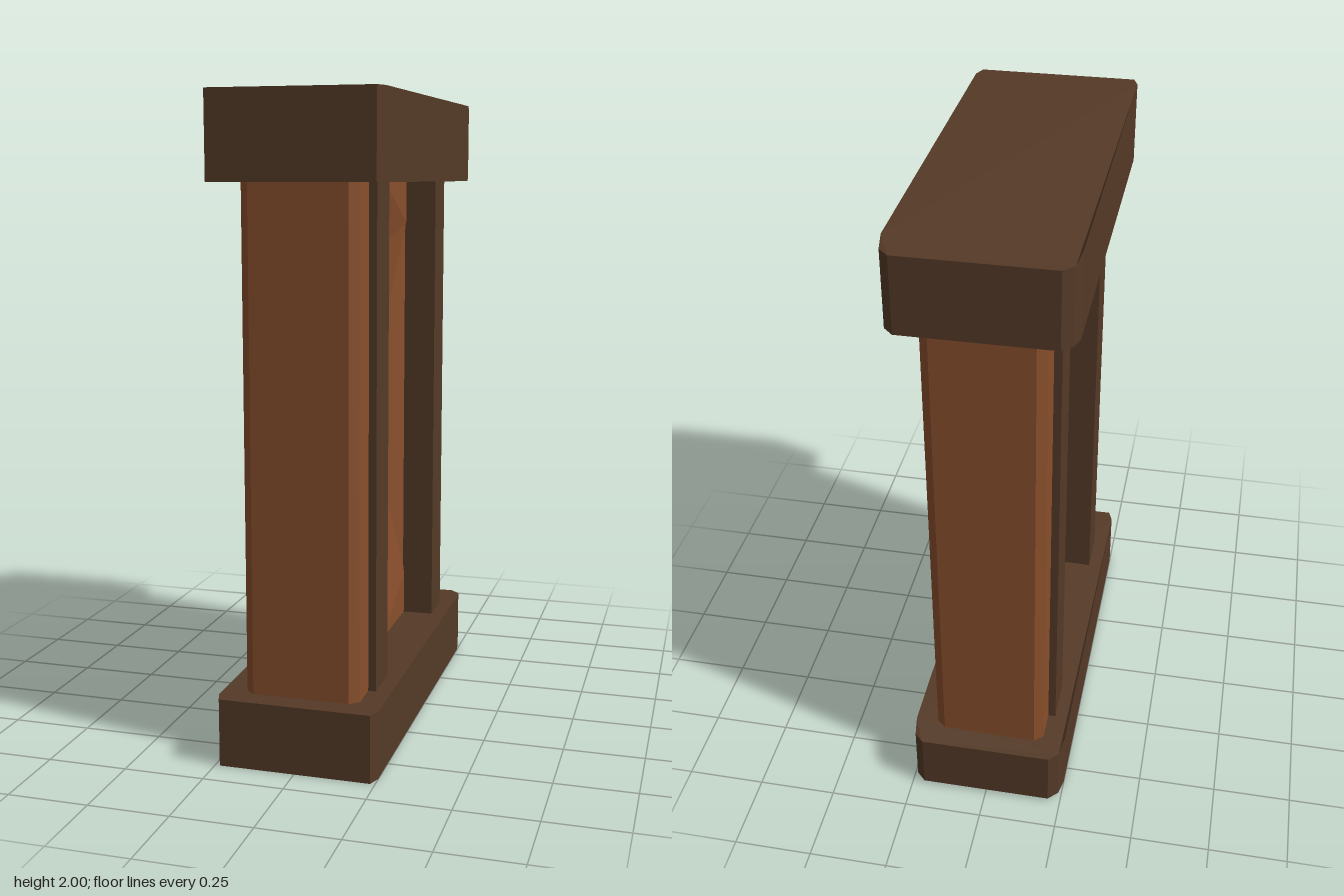
import * as THREE from 'three';

const dark = new THREE.MeshStandardMaterial({ color: 0x55392a, flatShading: true });
const orange = new THREE.MeshStandardMaterial({ color: 0x8a4f2c, flatShading: true });
dark.color.set(0x553a27);

const Y0 = 0.2, Y1 = 1.75; // span between the two slabs

export function createModel() {
  const group = new THREE.Group();
  const add = (name, geometry, material, x = 0, y = 0, z = 0) => {
    const mesh = new THREE.Mesh(geometry, material);
    mesh.name = name;
    mesh.position.set(x, y, z);
    group.add(mesh);
    return mesh;
  };

  // Upright prism from half an outline of [x, z] points, mirrored across x
  const prism = (half, height) => {
    const pts = [...half, ...half.map(([x, z]) => [-x, z]).reverse()];
    const shape = new THREE.Shape(pts.map(([x, z]) => new THREE.Vector2(x, -z)));
    const g = new THREE.ExtrudeGeometry(shape, { depth: height, bevelEnabled: false });
    return g.rotateX(-Math.PI / 2);
  };

  // Slabs, with worn corners that are deeper at the back
  const slab = (name, hw, y, height) => {
    const g = prism([
      [hw - 0.015, 0.65], [hw, 0.61], [hw, -0.56], [hw - 0.01, -0.62], [hw - 0.04, -0.65],
    ], height);
    const p = g.attributes.position;
    for (let i = 0; i < p.count; i++) {
      const s = p.getZ(i) < -0.6 ? 0.9 : 1;
      p.setY(i, height / 2 + (p.getY(i) - height / 2) * s);
    }
    g.computeVertexNormals();
    add(name, g, dark, 0, y, 0);
  };
  slab('baseSlab', 0.25, 0, 0.21);
  slab('topSlab', 0.265, 1.74, 0.26);

  // End blocks with chamfered outer edges, and the posts beside the recesses
  for (const s of [1, -1]) {
    const end = [[0.15, 0.58], [0.178, 0.555], [0.178, 0.36]];
    const block = add(s > 0 ? 'frontBlock' : 'backBlock', prism(end, Y1 - Y0), orange, 0, Y0, 0);
    if (s < 0) block.rotation.y = Math.PI;
    add(s > 0 ? 'frontPosts' : 'backPosts',
      new THREE.BoxGeometry(0.404, Y1 - Y0, 0.14), dark, 0, (Y0 + Y1) / 2, s * 0.39);
  }

  // Core between the posts
  add('core', new THREE.BoxGeometry(0.06, Y1 - Y0, 0.7), orange, 0, (Y0 + Y1) / 2, 0);

  // Left recess: hollow faceted panel, a flat hexagon inside a raised rim
  const rim = [[0.33, 0.36], [0.33, 1.6], [0, 1.75], [-0.33, 1.6], [-0.33, 0.36], [0, 0.2]];
  const inner = [[0.19, 0.72], [0.19, 1.25], [0, 1.49], [-0.19, 1.25], [-0.19, 0.72], [0, 0.47]];
  const corners = { 1: [0.33, 1.75], 2: [-0.33, 1.75], 4: [-0.33, 0.2], 5: [0.33, 0.2] };
  const verts = [];
  const tri = (...pts) => pts.forEach(([z, y, x]) => verts.push(x, y, z));
  const out = ([z, y]) => [z, y, 0.1];
  const deep = ([z, y]) => [z, y, 0.05];
  for (let i = 0; i < 6; i++) {
    const j = (i + 1) % 6;
    tri([0, 0.98, 0.05], deep(inner[i]), deep(inner[j]));
    tri(deep(inner[i]), out(rim[i]), out(rim[j]));
    tri(deep(inner[i]), out(rim[j]), deep(inner[j]));
    if (corners[i]) tri(out(rim[i]), out(corners[i]), out(rim[j]));
  }
  const panel = new THREE.BufferGeometry();
  panel.setAttribute('position', new THREE.Float32BufferAttribute(verts, 3));
  panel.computeVertexNormals();
  const panelMat = orange.clone();
  panelMat.side = THREE.DoubleSide;
  add('facetedPanel', panel, panelMat);

  // Right recess: rows of tapered tiles whose tops lean outwards
  const rows = 6, columns = 4;
  const h = (1.74 - 0.21) / rows, w = 0.65 / columns;
  const tile = new THREE.BoxGeometry(1, h, w);
  const p = tile.attributes.position;
  for (let i = 0; i < p.count; i++) {
    const top = p.getY(i) > 0, far = p.getZ(i) > 0;
    const face = top ? (far ? -0.108 : -0.085) : -0.055;
    p.setX(i, p.getX(i) < 0 ? face : -0.02);
    if (!top) p.setZ(i, p.getZ(i) * (far ? 0.95 : 0.65));
  }
  tile.computeVertexNormals();
  for (let r = 0; r < rows; r++) {
    for (let c = 0; c < columns; c++) {
      add('tile', tile, orange, 0, 0.21 + h * (r + 0.5), -0.325 + w * (c + 0.5));
    }
  }
  return group;
}
